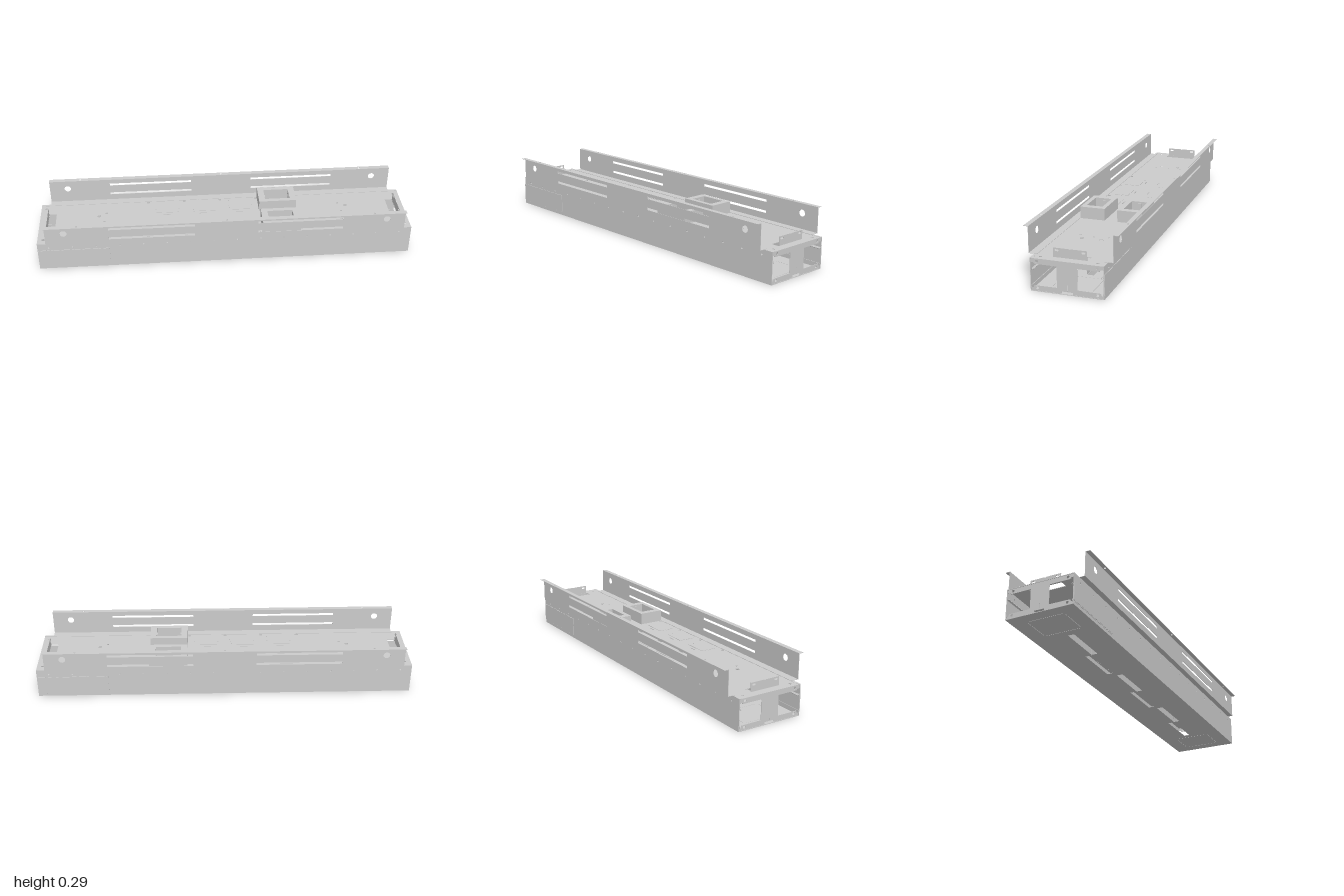
import * as THREE from 'three';

const T = 0.003; // sheet thickness
const mat = new THREE.MeshStandardMaterial({ color: 0xcccccc, side: THREE.DoubleSide });

// hole helpers (cx, cy = centre)
const rect = (cx, cy, w, h) => new THREE.Path([
  [-1, -1], [-1, 1], [1, 1], [1, -1],
].map(([a, b]) => new THREE.Vector2(cx + a * w / 2, cy + b * h / 2)));
const round = (cx, cy, r) => new THREE.Path().absarc(cx, cy, r, 0, Math.PI * 2, true);
const slot = (cx, cy, w, h) => {
  const p = new THREE.Path(), r = h / 2, d = w / 2 - r;
  p.absarc(cx + d, cy, r, -Math.PI / 2, Math.PI / 2, false);
  p.absarc(cx - d, cy, r, Math.PI / 2, Math.PI * 1.5, false);
  p.closePath();
  return p;
};

// sheet from a point outline with holes
function sheet(points, holes = [], depth = T) {
  const s = new THREE.Shape(points.map(([a, b]) => new THREE.Vector2(a, b)));
  s.holes = holes;
  return new THREE.ExtrudeGeometry(s, { depth, bevelEnabled: false, curveSegments: 8 });
}
const quad = (x0, y0, x1, y1) => [[x0, y0], [x1, y0], [x1, y1], [x0, y1]];

function add(parent, name, geo, x = 0, y = 0, z = 0) {
  const m = new THREE.Mesh(geo, mat);
  m.name = name;
  m.position.set(x, y, z);
  parent.add(m);
  return m;
}
const box = (parent, name, w, h, d, x, y, z) =>
  add(parent, name, new THREE.BoxGeometry(w, h, d), x, y, z);
// shape y becomes z, top surface at y = 0
const flat = (g) => g.rotateX(Math.PI / 2);
// shape x becomes z, outer surface at x = 0
const endOn = (g) => g.rotateY(-Math.PI / 2);

export function createModel() {
  const g = new THREE.Group();
  g.name = 'mountingChannel';
  const sides = [-1, 1];

  // bottom tray: slots alternate either side of the centre line, tabs folded up from them
  const tabs = [0.63, 0.39, 0.125, -0.11, -0.38, -0.62];
  const floorHoles = tabs.map((x, i) => rect(x, (i % 2 ? 1 : -1) * 0.0185, 0.235, 0.033));
  // knockout outlines, cut as thin grooves near both ends
  for (const s of sides) for (const k of sides) {
    floorHoles.push(rect(s * 0.86, k * 0.1, 0.14, 0.002));
    floorHoles.push(rect(s * 0.86 + k * 0.08, 0, 0.002, 0.18));
  }
  add(g, 'bottomPlate', flat(sheet(quad(-1, -0.178, 1, 0.178), floorHoles)), 0, T, 0);
  for (const x of tabs) box(g, 'bottomTab', 0.235, 0.035, 0.002, x, 0.0175, 0);

  // top plate
  const topHoles = [];
  for (const s of sides) {
    topHoles.push(rect(s * 0.933, 0, 0.04, 0.174), round(s * 0.65, 0, 0.005));
    for (const k of sides) {
      topHoles.push(round(s * 0.68, k * 0.05, 0.01), round(s * 0.64, k * 0.075, 0.006));
      topHoles.push(slot(s * 0.97, k * 0.14, 0.016, 0.012));
    }
  }
  for (const k of sides) {
    for (const x of [-0.41, -0.21, -0.01, 0.19]) topHoles.push(round(x, k * 0.157, 0.008));
    for (const x of [-0.31, -0.11, 0.09])
      for (const z of [0.038, 0.168]) topHoles.push(rect(x, k * z, 0.04, 0.005));
  }
  add(g, 'topPlate', flat(sheet(quad(-1, -0.176, 1, 0.176), topHoles)), 0, 0.161, 0);

  // knockout covers on the top plate
  for (const k of sides) for (const x of [-0.305, -0.103, 0.097]) {
    const cover = new THREE.Group();
    cover.name = 'knockoutCover';
    cover.position.set(x, 0.161, k * 0.1);
    box(cover, 'coverPlate', 0.122, 0.002, 0.086, 0, 0.001, 0);
    for (const s of sides) box(cover, 'coverEar', 0.008, 0.002, 0.016, s * 0.064, 0.001, 0);
    g.add(cover);
  }

  // socket housings with open windows
  for (const k of sides) {
    const housing = new THREE.Group();
    housing.name = 'socketHousing';
    housing.position.set(0.3, 0.161, k * 0.1);
    add(housing, 'housingFrame',
      flat(sheet(quad(-0.102, -0.066, 0.102, 0.066), [rect(0, 0, 0.136, 0.086)], 0.062)), 0, 0.062, 0);
    box(housing, 'socketFloor', 0.12, 0.004, 0.076, 0, 0.002, 0);
    for (const s of sides) box(housing, 'socketClip', 0.006, 0.05, 0.02, s * 0.066, 0.027, 0);
    g.add(housing);
  }

  // side walls with screw holes, folded lips and clip strips
  for (const k of sides) {
    const holes = [];
    for (let i = 0; i < 16; i++) holes.push(round(-0.94 + i * 0.125, 0.135, 0.004));
    add(g, 'sideWall', sheet(quad(-1, 0, 1, 0.162), holes), 0, 0, k * 0.1785 - T / 2);
    box(g, 'upperLip', 2, 0.002, 0.012, 0, 0.161, k * 0.173);
    const hook = sheet([[0.177, 0.104], [0.172, 0.112], [0.166, 0.105], [0.167, 0.103],
      [0.172, 0.109], [0.176, 0.103]], [], 2);
    const h = add(g, 'clipStrip', endOn(hook), 1, 0, 0);
    if (k < 0) { h.rotation.y = Math.PI; h.position.x = -1; }
    box(g, 'lowerClip', 2, 0.012, 0.003, 0, 0.022, k * 0.175);
    // access panel at one end of each side
    const panel = new THREE.Group();
    panel.name = 'accessPanel';
    panel.position.set(-k * 0.81, 0, k * 0.1815);
    box(panel, 'panelFace', 0.378, 0.098, T, 0, 0.07, 0);
    for (const y of [0.021, 0.115])
      for (let i = -3; i <= 3; i++) box(panel, 'panelClip', 0.04, 0.01, 0.003, i * 0.054, y, -k * 0.001);
    g.add(panel);
  }

  // end plates: I-shaped web, notched at the bottom
  const half = [[0.001, 0.047], [0.001, 0.014], [0.027, 0.014], [0.027, 0.003], [0.175, 0.003],
    [0.175, 0.014], [0.165, 0.018], [0.162, 0.028], [0.05, 0.029], [0.05, 0.133],
    [0.158, 0.133], [0.163, 0.14], [0.176, 0.141], [0.176, 0.158]];
  const outline = [...half, ...half.slice().reverse().map(([a, b]) => [-a, b])];
  for (const s of sides) {
    const holes = [];
    for (const k of sides) holes.push(round(k * 0.147, 0.147, 0.007), round(k * 0.147, 0.016, 0.007));
    add(g, 'endPlate', endOn(sheet(outline, holes)), s > 0 ? 0.998 : -0.995, 0, 0);

    // upright tab folded up from the top plate, with cable tie slots
    const tab = [[-0.083, 0.158], [0.083, 0.158], [0.083, 0.207], [0.006, 0.207],
      [0, 0.204], [-0.006, 0.207], [-0.083, 0.207]];
    add(g, 'endBracket', endOn(sheet(tab, sides.map((k) => slot(k * 0.065, 0.195, 0.02, 0.009)))),
      s * 0.955 + T / 2, 0, 0);
  }

  // mounting rails: upright web, inward foot, outward top flange
  for (const k of sides) {
    const rail = new THREE.Group();
    rail.name = 'mountingRail';
    const holes = [];
    for (const s of sides) {
      holes.push(round(s * 0.852, 0.245, 0.018));
      for (const y of [0.203, 0.262]) holes.push(rect(s * 0.393, y, 0.452, 0.013));
    }
    add(rail, 'railWeb', sheet(quad(-0.95, 0.162, 0.95, 0.293), holes, 0.002), 0, 0, k * 0.207 - 0.001);
    box(rail, 'railFoot', 1.9, 0.002, 0.042, 0, 0.163, k * 0.186);
    const flangeHoles = [-0.78, 0, 0.78].map((x) => round(x, 0, 0.005));
    add(rail, 'railFlange', flat(sheet(quad(-0.95, -0.0125, 0.95, 0.0125), flangeHoles, 0.002)),
      0, 0.294, k * 0.2185);
    g.add(rail);
  }
  return g;
}
